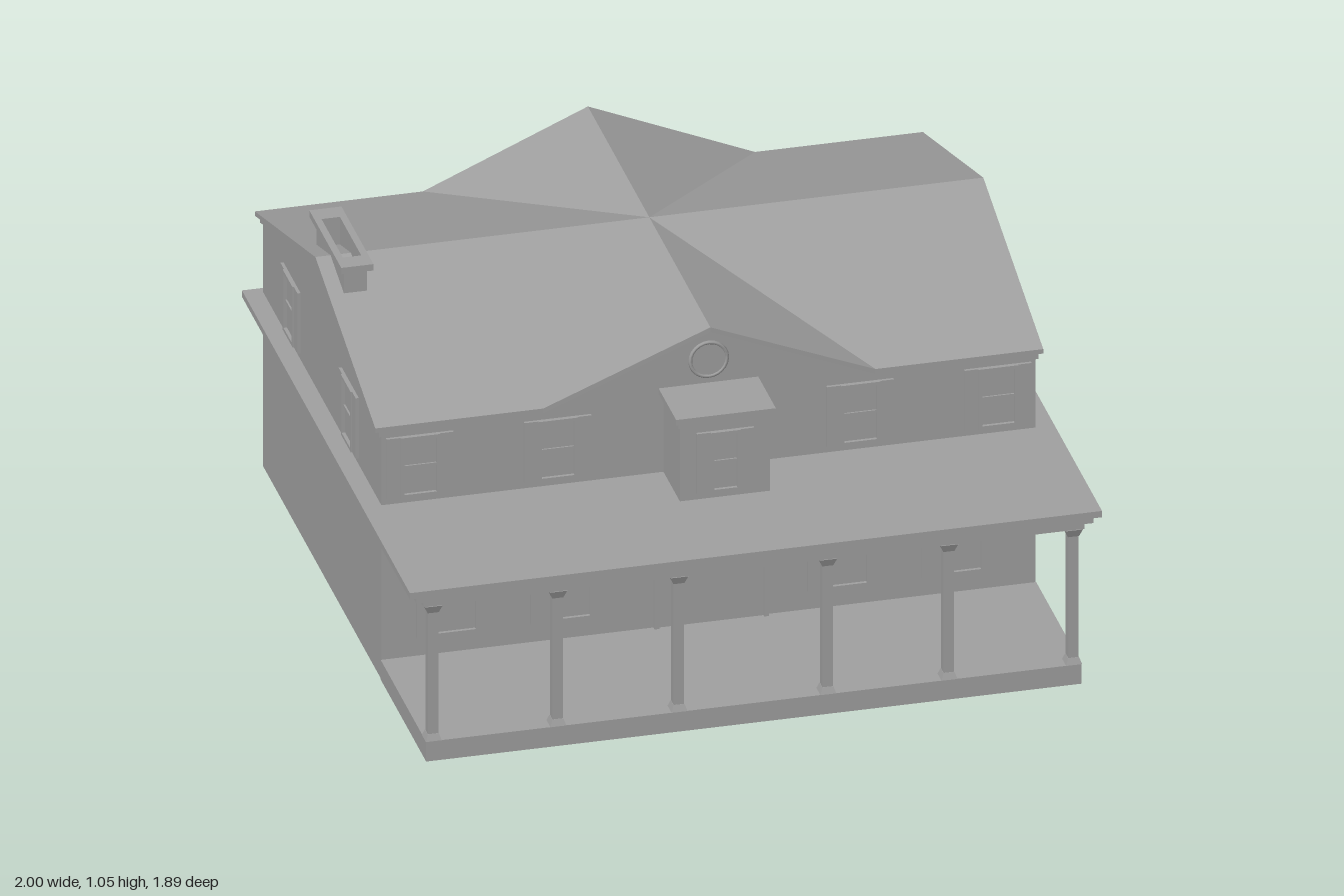
import * as THREE from 'three';

const paint = new THREE.MeshStandardMaterial({ color: 0xa0a0a0 });
paint.name = 'plain grey';

function add(parent, name, geometry) {
  const mesh = new THREE.Mesh(geometry, paint);
  mesh.name = name;
  parent.add(mesh);
  return mesh;
}

// Box given by its extents along each axis
function block(parent, name, x0, x1, y0, y1, z0, z1) {
  const mesh = add(parent, name, new THREE.BoxGeometry(x1 - x0, y1 - y0, z1 - z0));
  mesh.position.set((x0 + x1) / 2, (y0 + y1) / 2, (z0 + z1) / 2);
  return mesh;
}

// Square tapered block standing on y
function taper(parent, name, topHalf, bottomHalf, height, x, y, z) {
  const g = new THREE.CylinderGeometry(topHalf * Math.SQRT2, bottomHalf * Math.SQRT2, height, 4);
  g.rotateY(Math.PI / 4);
  const mesh = add(parent, name, g.toNonIndexed());
  mesh.geometry.computeVertexNormals();
  mesh.position.set(x, y + height / 2, z);
}

// Solid under a cross-gabled roof surface; flat bottom, or parallel to the top
function gabledSolid(halfX, front, back, lean, drop, thickness, floorY) {
  const ridge = 1 - drop, eave = 0.8 - drop, mid = -0.255, v = 0.48;
  const half = [
    [0, ridge, front + lean], [v, eave, front], [halfX, eave, front], [halfX, ridge, mid],
    [halfX, eave, back], [v, eave, back], [0, ridge, back - lean],
  ];
  const ring = half.concat(half.slice(1, 6).reverse().map(([x, y, z]) => [-x, y, z]));
  const below = ([x, y, z]) => [x, floorY ?? y - thickness, z];
  const centre = [0, ridge, mid], pos = [];
  ring.forEach((a, i) => {
    const b = ring[(i + 1) % ring.length];
    const c = below(a), d = below(b);
    pos.push(...centre, ...a, ...b);
    pos.push(...below(centre), ...d, ...c);
    pos.push(...a, ...c, ...d, ...a, ...d, ...b);
  });
  const g = new THREE.BufferGeometry();
  g.setAttribute('position', new THREE.Float32BufferAttribute(pos, 3));
  g.computeVertexNormals();
  return g;
}

// Sash window with shutters, centred on its own origin and facing +z
function makeWindow(name, width, height, shutter) {
  const g = new THREE.Group();
  g.name = name;
  const w = width / 2, h = height / 2, s = w - shutter, t = 0.01;
  block(g, 'pane', -s, s, -h, h, -0.002, 0.003);
  for (const side of [-1, 1]) {
    const a = side * s, b = side * w;
    block(g, 'shutter', Math.min(a, b), Math.max(a, b), -h, h, -0.002, 0.009);
    const c = side * (s - t);
    block(g, 'stile', Math.min(a, c), Math.max(a, c), -h, h, -0.002, 0.013);
  }
  block(g, 'headRail', -s, s, h - t, h, -0.002, 0.013);
  block(g, 'sill', -s, s, -h, -h + t, -0.002, 0.013);
  block(g, 'middleRail', -s, s, -0.004, 0.004, -0.002, 0.008);
  return g;
}

export function createModel() {
  const house = new THREE.Group();
  house.name = 'house';

  // Ground floor walls, open underneath
  block(house, 'frontWall', -0.945, 0.945, 0, 0.49, 0.4, 0.41);
  block(house, 'backWall', -0.945, 0.945, 0, 0.49, -0.92, -0.91);
  block(house, 'rightWall', -0.945, -0.935, 0, 0.49, -0.91, 0.4);
  block(house, 'leftWall', 0.935, 0.945, 0, 0.49, -0.91, 0.4);

  // Porch floor and the stepped cornice that carries the porch roof
  block(house, 'porchFloor', -0.947, 0.947, 0, 0.062, 0.41, 0.922);
  block(house, 'corniceLower', -0.955, 0.955, 0.488, 0.508, -0.922, 0.922);
  block(house, 'corniceMiddle', -0.978, 0.978, 0.508, 0.53, -0.932, 0.932);
  block(house, 'corniceTop', -1, 1, 0.53, 0.55, -0.945, 0.945);

  // Porch posts with bases and flared capitals
  for (const x of [-0.925, -0.565, -0.215, 0.215, 0.565, 0.925]) {
    const post = new THREE.Group();
    post.name = 'porchPost';
    block(post, 'shaft', x - 0.015, x + 0.015, 0.062, 0.488, 0.885, 0.915);
    taper(post, 'base', 0.016, 0.023, 0.02, x, 0.062, 0.9);
    taper(post, 'capital', 0.025, 0.016, 0.024, x, 0.464, 0.9);
    house.add(post);
  }

  // Upper storey, frieze under the eaves and roof slab
  add(house, 'upperWalls', gabledSolid(0.945, 0.41, -0.92, 0, 0.02, 0, 0.55));
  add(house, 'frieze', gabledSolid(0.953, 0.415, -0.926, 0.008, 0.012, 0.02));
  add(house, 'roof', gabledSolid(0.965, 0.42, -0.935, 0.012, 0, 0.014));

  // Entrance dormer box on the porch roof
  block(house, 'dormer', -0.13, 0.13, 0.55, 0.79, 0.4, 0.595);
  block(house, 'dormerMoulding', -0.136, 0.136, 0.782, 0.797, 0.4, 0.601);
  block(house, 'dormerCap', -0.144, 0.144, 0.797, 0.815, 0.4, 0.608);

  // Windows
  function place(name, w, h, shutter, x, y, z, turn = 0) {
    const win = makeWindow(name, w, h, shutter);
    win.position.set(x, y, z);
    win.rotation.y = turn;
    house.add(win);
  }
  for (const side of [-1, 1]) {
    for (const x of [0.835, 0.437]) place('upperWindow', 0.194, 0.19, 0.04, side * x, 0.665, 0.41);
    for (const x of [0.73, 0.4]) place('lowerWindow', 0.23, 0.285, 0.05, side * x, 0.263, 0.41);
    for (const z of [0.06, -0.595]) {
      place('sideWindow', 0.192, 0.19, 0.04, side * 0.945, 0.665, z, side * Math.PI / 2);
    }
  }
  place('dormerWindow', 0.166, 0.19, 0.04, 0, 0.665, 0.595);

  // Round window in the front gable
  const disc = new THREE.CylinderGeometry(0.055, 0.055, 0.008, 24).rotateX(Math.PI / 2);
  add(house, 'roundPane', disc).position.set(0, 0.89, 0.411);
  add(house, 'roundFrame', new THREE.TorusGeometry(0.053, 0.006, 6, 24)).position.set(0, 0.89, 0.413);

  // Front door with casing
  const door = new THREE.Group();
  door.name = 'frontDoor';
  block(door, 'doorLeaf', -0.145, 0.145, 0.062, 0.45, 0.405, 0.414);
  for (const x of [-0.152, 0.165]) block(door, 'jamb', x - 0.007, x + 0.007, 0.062, 0.45, 0.405, 0.423);
  block(door, 'sideLight', 0.145, 0.158, 0.062, 0.45, 0.405, 0.414);
  block(door, 'header', -0.16, 0.175, 0.45, 0.465, 0.405, 0.425);
  house.add(door);

  // Hollow chimney with a wider cap
  function tube(name, x0, x1, z0, z1, y0, y1) {
    const rect = (P, a, b, c, d) => {
      const p = new P();
      p.moveTo(a, c).lineTo(b, c).lineTo(b, d).lineTo(a, d).closePath();
      return p;
    };
    // Shape y becomes -z once the extrusion is turned upright
    const shape = new THREE.Shape([[x0, -z1], [x1, -z1], [x1, -z0], [x0, -z0]].map(([x, y]) => new THREE.Vector2(x, y)));
    const hole = new THREE.Path([[-0.915, 0.14], [-0.915, 0.38], [-0.862, 0.38], [-0.862, 0.14]].map(([x, y]) => new THREE.Vector2(x, y)));
    shape.holes.push(hole);
    const g = new THREE.ExtrudeGeometry(shape, { depth: y1 - y0, bevelEnabled: false });
    g.rotateX(-Math.PI / 2);
    add(house, name, g).position.y = y0;
  }
  tube('chimney', -0.921, -0.855, -0.415, -0.105, 0.9, 1.03);
  tube('chimneyCap', -0.935, -0.842, -0.44, -0.08, 1.03, 1.05);

  return house;
}
